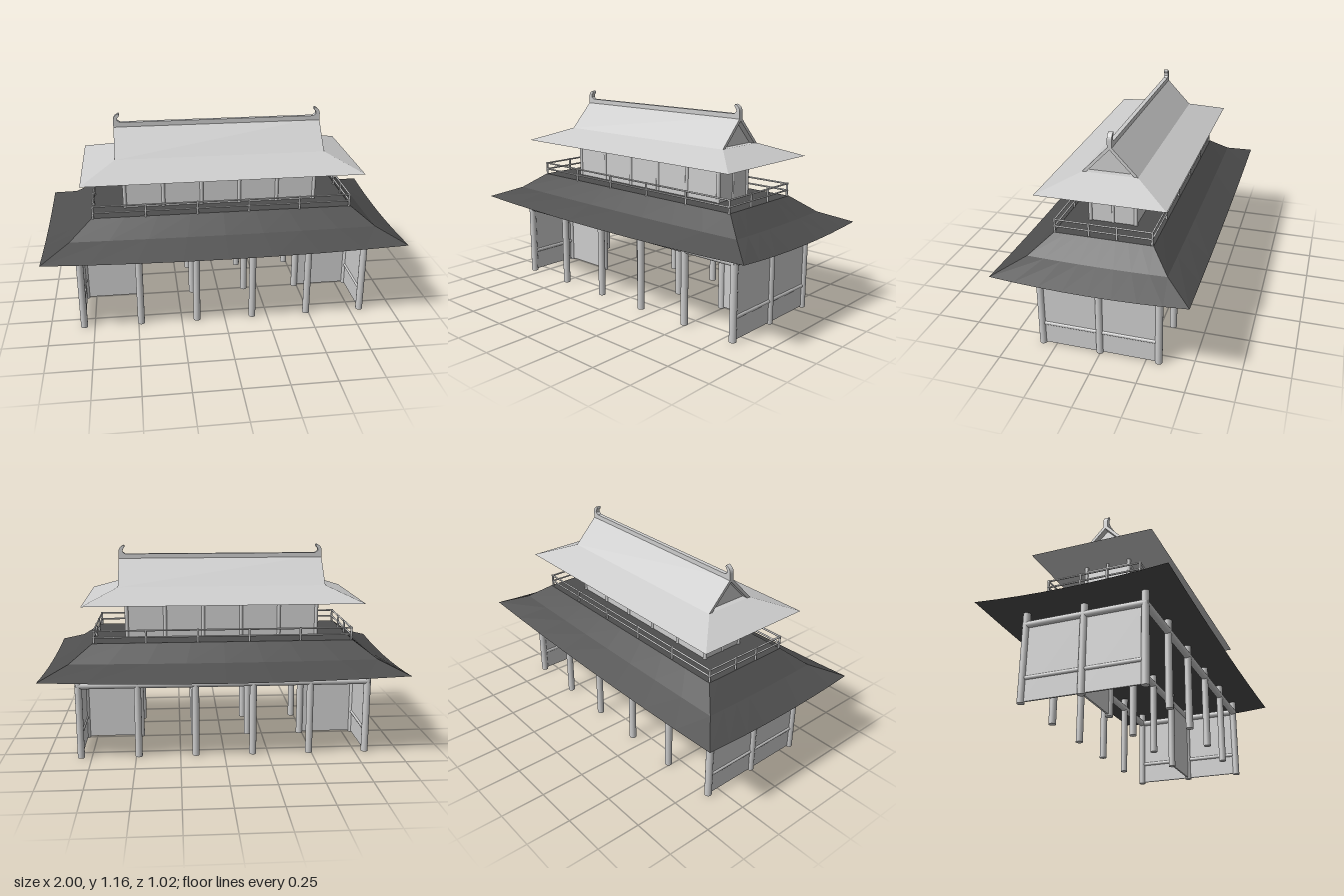
import * as THREE from 'three';

const light = new THREE.MeshStandardMaterial({ color: 0xcccccc });
light.name = 'pale grey';
const dark = new THREE.MeshStandardMaterial({ color: 0x4e4e4e });
dark.name = 'dark grey roof';

function add(parent, name, geometry, material = light) {
  const mesh = new THREE.Mesh(geometry, material);
  mesh.name = name;
  parent.add(mesh);
  return mesh;
}

// round bar between two points
function bar(parent, name, a, b, r, sides = 16) {
  const p = new THREE.Vector3(...a), q = new THREE.Vector3(...b);
  const d = q.clone().sub(p);
  const mesh = add(parent, name, new THREE.CylinderGeometry(r, r, d.length(), sides));
  mesh.position.copy(p).add(q).multiplyScalar(0.5);
  mesh.quaternion.setFromUnitVectors(new THREE.Vector3(0, 1, 0), d.normalize());
  return mesh;
}

function box(parent, name, w, h, d, x, y, z) {
  const mesh = add(parent, name, new THREE.BoxGeometry(w, h, d));
  mesh.position.set(x, y, z);
  return mesh;
}

// rectangular loop of points whose corners may be lifted
function ring(hx, hz, y, lift, n) {
  const pts = [];
  const corners = [[-hx, hz], [hx, hz], [hx, -hz], [-hx, -hz]];
  for (let s = 0; s < 4; s++) {
    const a = corners[s], b = corners[(s + 1) % 4];
    for (let i = 0; i < n; i++) {
      const t = i / n, k = 2 * t - 1;
      pts.push([a[0] + (b[0] - a[0]) * t, y + lift * k * k, a[1] + (b[1] - a[1]) * t]);
    }
  }
  return pts;
}

// flat-faced skin over a list of [halfX, halfZ, y, lift] rings
function loft(rows, n) {
  const rings = rows.map(r => ring(...r, n));
  const pos = [];
  for (let j = 0; j < rings.length - 1; j++) {
    const a = rings[j], b = rings[j + 1];
    for (let i = 0; i < a.length; i++) {
      const k = (i + 1) % a.length;
      pos.push(...a[i], ...a[k], ...b[k], ...a[i], ...b[k], ...b[i]);
    }
  }
  const g = new THREE.BufferGeometry();
  g.setAttribute('position', new THREE.Float32BufferAttribute(pos, 3));
  g.computeVertexNormals();
  return g;
}

function polygon(points) {
  return new THREE.Shape(points.map(p => new THREE.Vector2(...p)));
}

export function createModel() {
  const model = new THREE.Group();
  model.name = 'gatehouse';
  const frame = new THREE.Group();
  frame.name = 'timberFrame';
  frame.position.z = 0.004;
  model.add(frame);

  // ground floor columns and long beams
  const X = [-0.81, -0.485, -0.162, 0.162, 0.485, 0.81], Z = [-0.323, 0, 0.323];
  for (const z of Z) {
    for (const x of X) bar(frame, 'column', [x, 0, z], [x, 0.5, z], 0.02);
    bar(frame, 'longBeam', [-0.82, 0.422, z], [0.82, 0.422, z], 0.02);
  }

  // ground floor end walls and inner bay walls
  for (const s of [-1, 1]) {
    const x = 0.81 * s;
    bar(frame, 'endBeam', [x, 0.422, -0.33], [x, 0.422, 0.33], 0.02);
    bar(frame, 'endRail', [x, 0.13, -0.323], [x, 0.13, 0.323], 0.012);
    for (const z of [-0.1615, 0.1615]) box(frame, 'endWall', 0.01, 0.4, 0.31, x, 0.207, z);
    box(frame, 'innerWall', 0.315, 0.4, 0.01, 0.6475 * s, 0.207, 0);
  }

  // sweeping lower roof with lifted corners, soffit and deck
  add(model, 'lowerRoof', loft([
    [0, 0, 0.478, 0],
    [1, 0.511, 0.476, 0.022],
    [0.85, 0.368, 0.552, 0.006],
    [0.73, 0.265, 0.646, 0],
    [0, 0, 0.646, 0],
  ], 8), dark);

  // balcony railing
  const railing = new THREE.Group();
  railing.name = 'railing';
  frame.add(railing);
  const rx = 0.722, rz = 0.26;
  for (const s of [-1, 1]) {
    for (const y of [0.715, 0.678]) {
      bar(railing, 'handrail', [-rx - 0.006, y, rz * s], [rx + 0.006, y, rz * s], 0.005, 8);
      bar(railing, 'handrail', [rx * s, y, -rz - 0.006], [rx * s, y, rz + 0.006], 0.005, 8);
    }
    for (let i = 0; i < 6; i++) {
      const x = -rx + (2 * rx * i) / 5;
      bar(railing, 'railPost', [x, 0.64, rz * s], [x, 0.72, rz * s], 0.006, 8);
    }
    for (const z of [-0.075, 0.075]) {
      bar(railing, 'railPost', [rx * s, 0.64, z], [rx * s, 0.72, z], 0.006, 8);
    }
  }

  // upper storey posts, beams and walls
  const UX = [-0.545, -0.327, -0.109, 0.109, 0.327, 0.545], uz = 0.125;
  for (const s of [-1, 1]) {
    for (const x of UX) bar(frame, 'upperPost', [x, 0.64, uz * s], [x, 0.87, uz * s], 0.011, 12);
    bar(frame, 'upperPost', [0.545 * s, 0.64, 0], [0.545 * s, 0.87, 0], 0.008, 12);
    bar(frame, 'upperBeam', [-0.545, 0.835, uz * s], [0.545, 0.835, uz * s], 0.01, 12);
    bar(frame, 'upperBeam', [0.545 * s, 0.835, -uz], [0.545 * s, 0.835, uz], 0.01, 12);
    box(frame, 'upperWall', 1.09, 0.19, 0.006, 0, 0.737, uz * s);
    box(frame, 'upperEndWall', 0.006, 0.19, 0.25, 0.545 * s, 0.737, 0);
  }

  // upper roof skirt
  add(frame, 'upperRoofSkirt', loft([
    [0, 0, 0.866, 0],
    [0.775, 0.344, 0.866, 0],
    [0.588, 0.148, 0.941, 0],
    [0, 0, 0.941, 0],
  ], 1));

  // gabled top: a folded slab with recessed gable walls
  const slab = new THREE.ExtrudeGeometry(polygon([
    [-0.15, 0.94], [-0.128, 0.94], [0, 1.074], [0.128, 0.94], [0.15, 0.94], [0, 1.098],
  ]), { depth: 1.176, bevelEnabled: false });
  slab.translate(0, 0, -0.588).rotateY(Math.PI / 2);
  add(frame, 'gableRoof', slab);
  const gable = new THREE.ExtrudeGeometry(polygon([[-0.13, 0.94], [0.13, 0.94], [0, 1.076]]),
    { depth: 1.11, bevelEnabled: false });
  gable.translate(0, 0, -0.555).rotateY(Math.PI / 2);
  add(frame, 'gableWalls', gable);

  // ridge with a curled ornament at each end
  box(frame, 'ridge', 1.17, 0.03, 0.024, 0, 1.096, 0);
  const horn = new THREE.Shape();
  horn.moveTo(0.55, 1.085);
  horn.lineTo(0.588, 1.085);
  horn.lineTo(0.588, 1.125);
  horn.quadraticCurveTo(0.586, 1.152, 0.557, 1.162);
  horn.quadraticCurveTo(0.55, 1.152, 0.558, 1.144);
  horn.quadraticCurveTo(0.568, 1.136, 0.565, 1.122);
  horn.lineTo(0.55, 1.111);
  const hornGeo = new THREE.ExtrudeGeometry(horn, { depth: 0.025, bevelEnabled: false, curveSegments: 6 });
  hornGeo.translate(0, 0, -0.0125);
  for (const turn of [0, Math.PI]) add(frame, 'ridgeOrnament', hornGeo).rotation.y = turn;

  return model;
}
